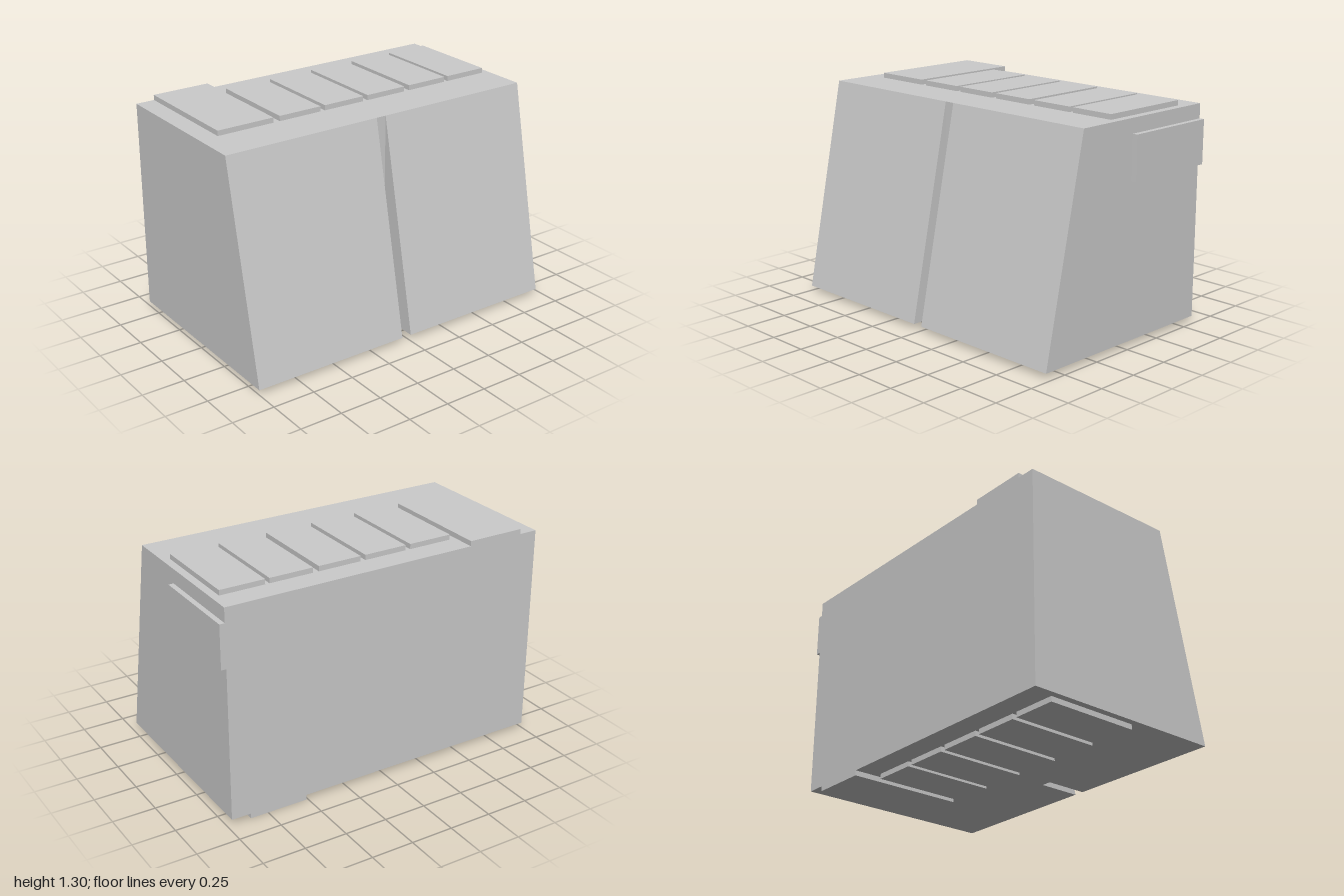
import * as THREE from 'three';

const material = new THREE.MeshStandardMaterial({ color: 0xcccccc, flatShading: true });

// Box given by its min and max corners
function block(name, [x0, y0, z0], [x1, y1, z1]) {
  const geometry = new THREE.BoxGeometry(x1 - x0, y1 - y0, z1 - z0);
  geometry.translate((x0 + x1) / 2, (y0 + y1) / 2, (z0 + z1) / 2);
  const mesh = new THREE.Mesh(geometry, material);
  mesh.name = name;
  return mesh;
}

export function createModel() {
  const model = new THREE.Group();
  model.name = 'slantedBlock';
  const left = -1, right = 0.97, bottom = 0.03, top = 1.27;
  const back = -0.61, topFront = 0.35, bottomFront = 0.61;
  const slot = [-0.05, 0.01];

  // Body: side profile extruded along x, with a slot cut in the sloping front
  const half = (right - left) / 2;
  const mid = (left + right) / 2;
  // Plan outline at the base; the front edge is pulled back at the top
  const plan = new THREE.Shape([
    [left, back], [right, back], [right, bottomFront], [slot[1], bottomFront],
    [slot[1], topFront], [slot[0], topFront], [slot[0], bottomFront], [left, bottomFront],
  ].map(([x, z]) => new THREE.Vector2((x - mid) / half, -z)));
  const geometry = new THREE.ExtrudeGeometry(plan, { depth: top - bottom, bevelEnabled: false });
  geometry.rotateX(-Math.PI / 2);
  geometry.scale(half, 1, 1);
  geometry.translate(mid, bottom, 0);
  const p = geometry.attributes.position;
  for (let i = 0; i < p.count; i++) {
    if (p.getY(i) > 1 && p.getZ(i) > topFront) p.setZ(i, topFront);
  }
  geometry.computeVertexNormals();
  const body = new THREE.Mesh(geometry, material);
  body.name = 'body';
  model.add(body);

  // Raised plates on top and underside; the wide one reaches the back edge
  const narrowBack = -0.47, plateFront = 0.09;
  const rows = [
    ['topPlate', top, 1.3, [[-0.89, -0.545], [-0.505, -0.24], [-0.21, 0.05], [0.08, 0.34], [0.375, 0.635], [0.66, 0.925]]],
    ['bottomPlate', 0, bottom, [[-0.96, -0.7], [-0.67, -0.405], [-0.375, -0.115], [-0.085, 0.175], [0.205, 0.465], [0.51, 0.855]]],
  ];
  for (const [name, y0, y1, spans] of rows) {
    for (const [x0, x1] of spans) {
      const z0 = x1 - x0 > 0.3 ? back : narrowBack;
      model.add(block(name, [x0, y0, z0], [x1, y1, plateFront]));
    }
  }

  // Plate on the +x side
  model.add(block('sidePlate', [right, 0.93, back], [1, 1.185, -0.035]));
  return model;
}
